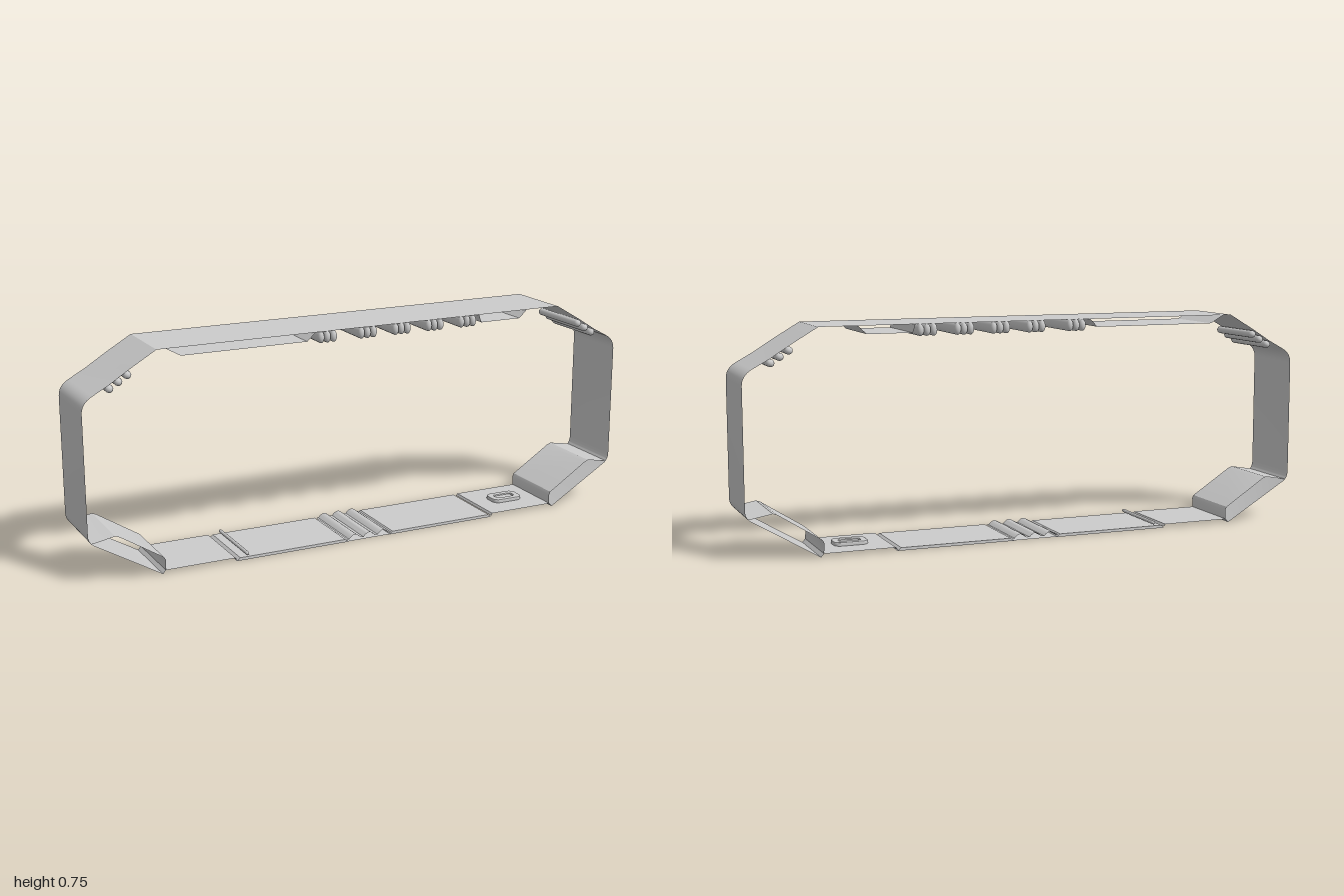
import * as THREE from 'three';
import { toCreasedNormals } from 'three/addons/utils/BufferGeometryUtils.js';

const HALF = 0.125; // half width of the band
const sheetMat = new THREE.MeshStandardMaterial({ color: 0xcccccc, side: THREE.DoubleSide });
const solidMat = new THREE.MeshStandardMaterial({ color: 0xcccccc });

export function createModel() {
  const group = new THREE.Group();

  const add = (name, geo, mat = solidMat, parent = group) => {
    const mesh = new THREE.Mesh(geo, mat);
    mesh.name = name;
    parent.add(mesh);
    return mesh;
  };

  // Thin sheet: a side profile of [x, y] points swept across the width
  const sheet = (name, pts, half = HALF) => {
    const pos = [];
    for (let i = 0; i < pts.length - 1; i++) {
      const [ax, ay] = pts[i], [bx, by] = pts[i + 1];
      pos.push(ax, ay, half, bx, by, half, bx, by, -half);
      pos.push(ax, ay, half, bx, by, -half, ax, ay, -half);
    }
    const geo = new THREE.BufferGeometry();
    geo.setAttribute('position', new THREE.Float32BufferAttribute(pos, 3));
    return add(name, toCreasedNormals(geo, 0.5), sheetMat);
  };

  const mirror = (pts, s) => pts.map(([x, y]) => [s * x, y]);

  // Round-ended roll lying across the band
  const roll = (name, x, y, r, stretch, length, parent) => {
    const geo = new THREE.CapsuleGeometry(r, length - 2 * r, 5, 14);
    geo.rotateX(Math.PI / 2);
    geo.scale(1, stretch, 1);
    geo.translate(x, y, 0);
    return add(name, geo, solidMat, parent);
  };

  // Top sheet
  sheet('topSheet', [[-0.75, 0.75], [0.75, 0.75]]);

  // Side of the band: upper slope, rounded shoulder, wall, rounded foot, lower slope
  const path = new THREE.Path();
  path.moveTo(0.75, 0.75);
  path.lineTo(0.84, 0.697);
  path.lineTo(0.91, 0.653);
  path.lineTo(0.965, 0.623);
  path.quadraticCurveTo(1, 0.604, 1, 0.57);
  path.lineTo(1, 0.172);
  path.quadraticCurveTo(1, 0.15, 0.985, 0.137);
  path.lineTo(0.755, 0);
  path.lineTo(0.745, 0.012);
  path.lineTo(0.5, 0.012);
  path.lineTo(0.495, 0.004);
  const side = path.getPoints(8).map(p => [p.x, p.y]);

  for (const s of [1, -1]) {
    const label = s > 0 ? 'left' : 'right';
    sheet(label + 'SideBand', mirror(side, s));

    // Raised pad inside the lower slope
    sheet(label + 'LowerPad', mirror([[0.99, 0.142], [0.96, 0.147], [0.91, 0.156], [0.895, 0.15],
      [0.748, 0.056], [0.743, 0.045], [0.745, 0.012]], s));

    // Small rolls under the upper slope
    const rolls = new THREE.Group();
    rolls.name = label + 'ShoulderRolls';
    group.add(rolls);
    for (let i = 0; i < 3; i++) {
      const x = 0.845 + i * 0.03;
      roll('shoulderRoll', s * x, 0.677 - i * 0.019, 0.013, 1, 0.252, rolls);
    }

    // Shallow bottom panel with bevelled ends
    const a = 0.08, b = 0.495;
    const profile = new THREE.Shape(mirror([[a, 0], [b, 0], [b - 0.012, 0.01], [a + 0.012, 0.01]], s)
      .map(([x, y]) => new THREE.Vector2(x, y)));
    const panel = new THREE.ExtrudeGeometry(profile, { depth: 2 * HALF, bevelEnabled: false });
    panel.translate(0, 0, -HALF);
    add(label + 'BottomPanel', panel);
  }

  // Lowered plates under the top, either side of the rolls
  sheet('rightUnderPlate', [[-0.72, 0.75], [-0.67, 0.722], [-0.23, 0.722], [-0.2, 0.75]]);
  sheet('leftUnderPlate', [[0.425, 0.75], [0.435, 0.722], [0.59, 0.722], [0.62, 0.75]]);

  // Five groups of three flattened rolls under the top
  for (const cx of [-0.153, -0.004, 0.125, 0.253, 0.382]) {
    const trio = new THREE.Group();
    trio.name = 'topRolls';
    group.add(trio);
    for (const i of [-1, 0, 1]) roll('topRoll', cx + i * 0.023, 0.7295, 0.0112, 1.8, 0.254, trio);
  }

  // Ridged joint in the middle of the bottom
  const ridges = [[-0.085, 0.008]];
  for (const c of [-0.055, 0, 0.055]) {
    for (let k = 0; k <= 8; k++) {
      const t = k / 8;
      ridges.push([c + (t - 0.5) * 0.045, 0.008 + 0.014 * Math.sin(Math.PI * t)]);
    }
  }
  ridges.push([0.085, 0.008]);
  sheet('bottomRidges', ridges);
  sheet('bottomJoint', [[-0.085, 0.001], [0.085, 0.001]]);

  // Thin rod across the bottom
  roll('bottomRod', -0.455, 0.02, 0.006, 1, 0.252, group);

  // Rounded rectangular frame and plate on the bottom end
  const rounded = (Kind, w, h, r) => {
    const p = new Kind();
    const x = w / 2 - r, y = h / 2 - r;
    p.absarc(x, y, r, 0, Math.PI / 2);
    p.absarc(-x, y, r, Math.PI / 2, Math.PI);
    p.absarc(-x, -y, r, Math.PI, Math.PI * 1.5);
    p.absarc(x, -y, r, Math.PI * 1.5, Math.PI * 2);
    p.closePath();
    return p;
  };
  const flat = (name, shape, depth, y) => {
    const geo = new THREE.ExtrudeGeometry(shape, {
      depth, bevelThickness: 0.004, bevelSize: 0.004, bevelSegments: 2, curveSegments: 8,
    });
    geo.rotateX(-Math.PI / 2);
    geo.translate(0.625, y, 0);
    add(name, geo);
  };
  const frame = rounded(THREE.Shape, 0.11, 0.07, 0.02);
  frame.holes.push(rounded(THREE.Path, 0.08, 0.04, 0.012));
  flat('buckleFrame', frame, 0.008, 0.013);
  flat('bucklePlate', rounded(THREE.Shape, 0.064, 0.026, 0.008), 0.004, 0.013);

  return group;
}
